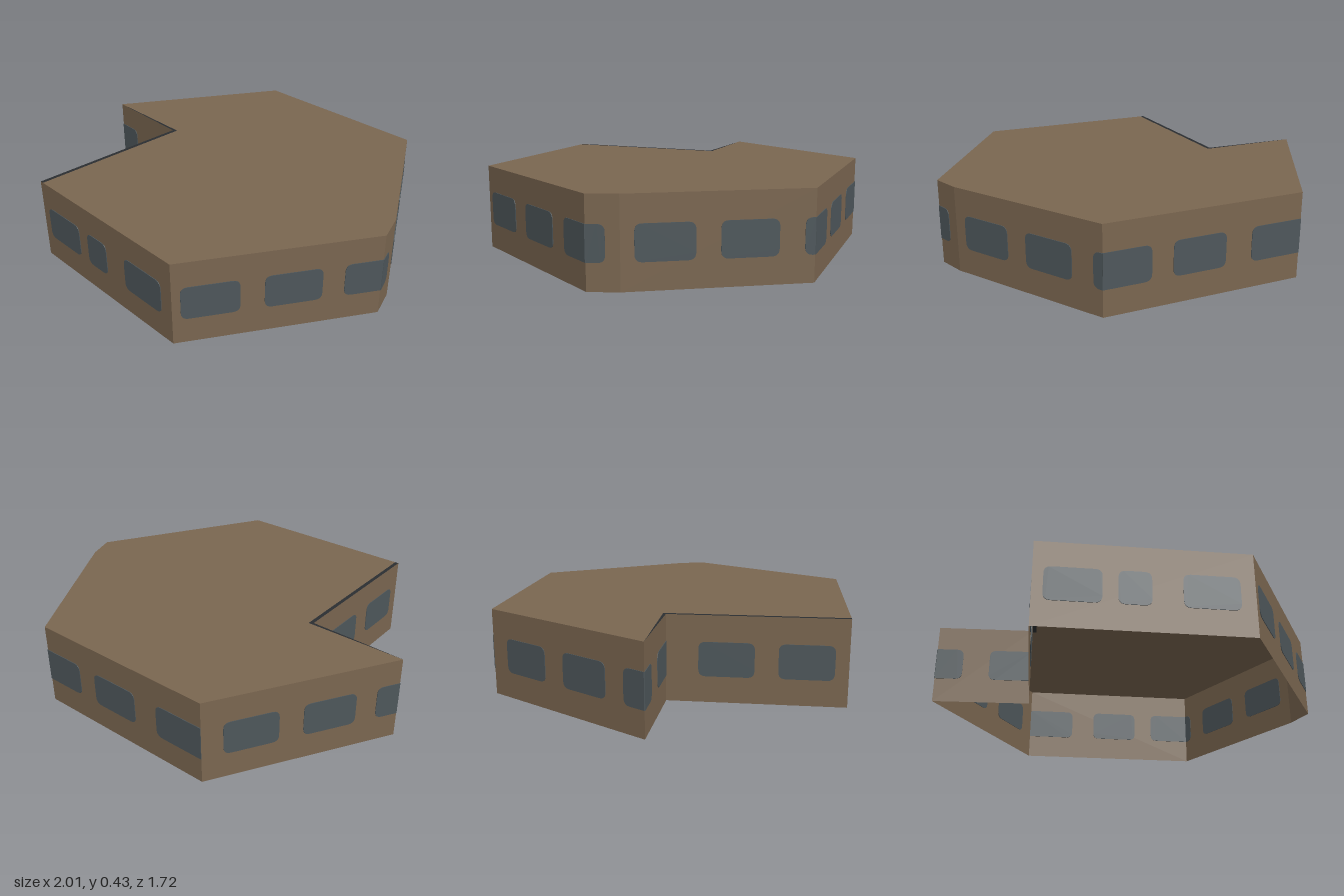
import * as THREE from 'three';

const HEIGHT = 0.43, SILL = 0.13, HEAD = 0.3;

// Walls in plan, anticlockwise from above: start corner [x, z] and
// window spans along the wall as fractions of its length.
const WALLS = [
  { name: 'frontWall', at: [-0.5, 0.857], windows: [[0.05, 0.31], [0.38, 0.53], [0.67, 0.93]] },
  { name: 'leftFrontWall', at: [0.5, 0.857], windows: [[0.04, 0.315], [0.43, 0.707], [0.815, 1]] },
  { name: 'cornerWall', at: [1, 0.02], windows: [[0, 0.57]] },
  { name: 'leftBackWall', at: [0.95, -0.12], windows: [[0.07, 0.38], [0.507, 0.81], [0.945, 1]] },
  { name: 'backWall', at: [0.5, -0.857], windows: [[0, 0.23], [0.335, 0.6], [0.735, 1]] },
  { name: 'rightBackWall', at: [-0.5, -0.857], windows: [[0.105, 0.377], [0.5, 0.77], [0.88, 1]] },
  { name: 'notchBackWall', at: [-1, -0.025], windows: [[0, 0.28], [0.56, 1]] },
  { name: 'notchSideWall', at: [-0.5, -0.005], windows: [[0.18, 0.49], [0.62, 0.925]] },
];

function material(name, color) {
  const m = new THREE.MeshStandardMaterial({ color, side: THREE.DoubleSide });
  m.name = name;
  return m;
}

// Flat horizontal face from plan points [x, z]
function planFace(points) {
  const shape = new THREE.Shape(points.map(([x, z]) => new THREE.Vector2(x, -z)));
  return new THREE.ShapeGeometry(shape).rotateX(-Math.PI / 2);
}

// Window outline; ends that meet a wall corner stay square
function windowShape(x0, x1, roundStart, roundEnd) {
  const r0 = roundStart ? 0.035 : 0, r1 = roundEnd ? 0.035 : 0;
  const s = new THREE.Shape();
  s.moveTo(x0 + r0, SILL);
  s.lineTo(x1 - r1, SILL);
  if (r1) s.quadraticCurveTo(x1, SILL, x1, SILL + r1);
  s.lineTo(x1, HEAD - r1);
  if (r1) s.quadraticCurveTo(x1, HEAD, x1 - r1, HEAD);
  s.lineTo(x0 + r0, HEAD);
  if (r0) s.quadraticCurveTo(x0, HEAD, x0, HEAD - r0);
  s.lineTo(x0, SILL + r0);
  if (r0) s.quadraticCurveTo(x0, SILL, x0 + r0, SILL);
  return s;
}

export function createModel() {
  const model = new THREE.Group();
  model.name = 'building';
  const brown = material('brown wall', 0x7a6650);
  const glass = material('grey glass', 0x4e575b);
  const dark = material('dark edging', 0x2b2e31);

  const add = (parent, name, geometry, mat) => {
    const mesh = new THREE.Mesh(geometry, mat);
    mesh.name = name;
    parent.add(mesh);
    return mesh;
  };

  // Thin walls with window plates that show on both sides
  WALLS.forEach(({ name, at: [x, z], windows }, i) => {
    const [nx, nz] = WALLS[(i + 1) % WALLS.length].at;
    const length = Math.hypot(nx - x, nz - z);
    const wall = new THREE.Group();
    wall.name = name;
    wall.position.set(x, 0, z);
    wall.rotation.y = Math.atan2(z - nz, nx - x);
    add(wall, 'wallPanel', new THREE.PlaneGeometry(length, HEIGHT).translate(length / 2, HEIGHT / 2, 0), brown);
    for (const [a, b] of windows) {
      const shape = windowShape(a * length, b * length, a > 0, b < 1);
      const pane = new THREE.ExtrudeGeometry(shape, { depth: 0.006, bevelEnabled: false, curveSegments: 5 });
      add(wall, 'window', pane.translate(0, 0, -0.003), glass);
    }
    model.add(wall);
  });

  // Flat roof, stopping just short of the notch
  const outline = WALLS.slice(0, 7).map((w) => w.at);
  outline[0] = [-0.48, 0.857];
  const roof = add(model, 'roof', planFace([...outline, [-0.48, -0.02]]), brown);
  roof.position.y = HEIGHT;

  // Dark edging along the notch
  const edging = add(model, 'notchEdging', planFace([
    [-1, -0.025], [-0.5, -0.005], [-0.5, 0.857], [-0.48, 0.857], [-0.48, -0.02],
  ]), dark);
  edging.position.y = HEIGHT;

  return model;
}
